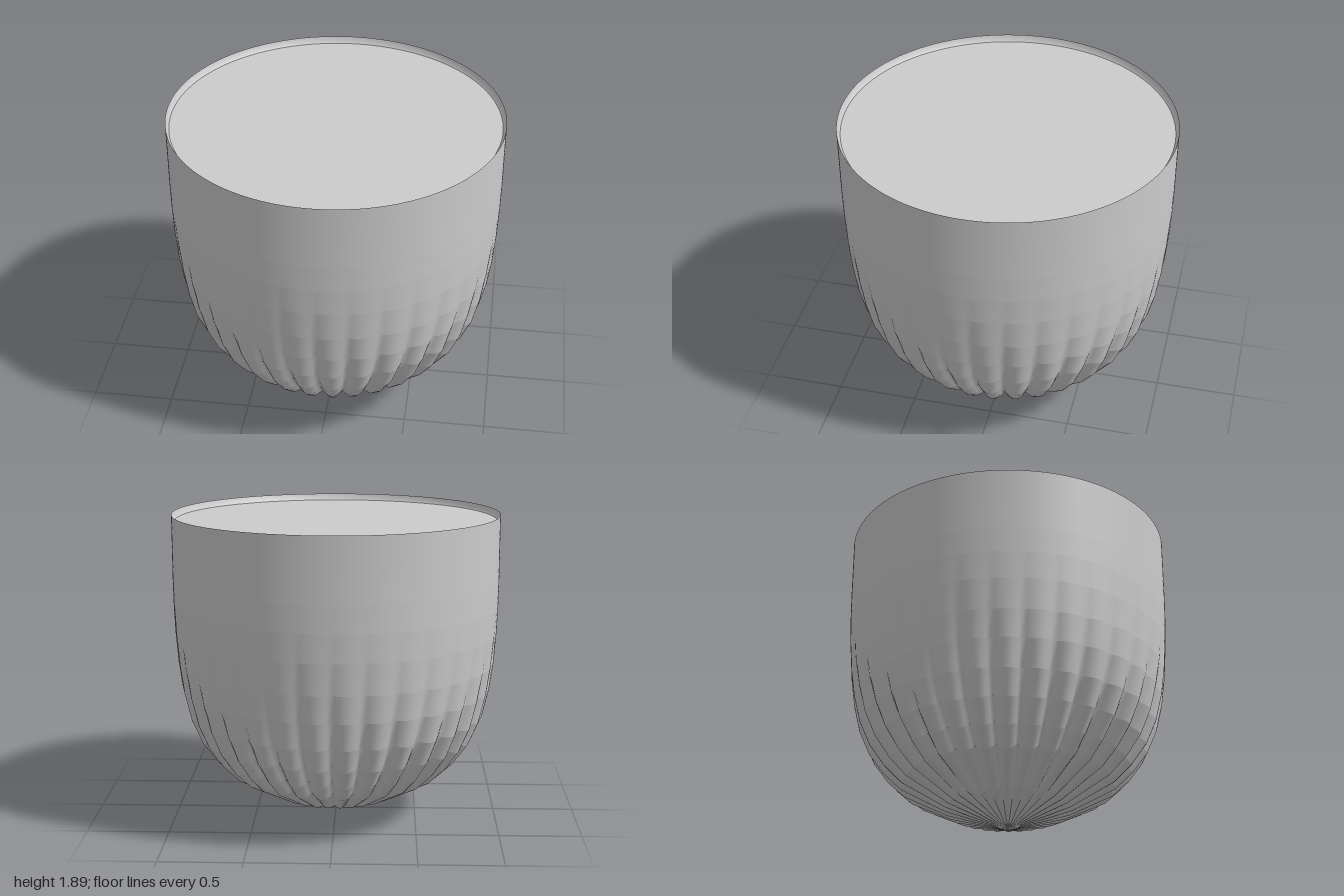
import * as THREE from 'three';

const FLUTES = 32, STEPS = 8, SEG = FLUTES * STEPS;

// Ridge profile: [radius, height, groove depth]
const PROFILE = [
  [0, 0, 0], [0.38, 0.12, 0.02], [0.65, 0.26, 0.045], [0.755, 0.36, 0.055],
  [0.85, 0.49, 0.055], [0.915, 0.64, 0.042], [0.955, 0.81, 0.025],
  [0.978, 0.98, 0.013], [0.992, 1.17, 0.005], [0.998, 1.34, 0.001],
  [1, 1.5, 0], [1, 1.89, 0],
];

// One ring of points: convex lobes with sharp grooves, pressed in along the profile normal
function ring(i) {
  const [r, y, depth] = PROFILE[i];
  const a = PROFILE[Math.max(i - 1, 0)], b = PROFILE[Math.min(i + 1, PROFILE.length - 1)];
  const len = Math.hypot(b[0] - a[0], b[1] - a[1]);
  const nr = (b[1] - a[1]) / len, ny = -(b[0] - a[0]) / len;
  const points = [];
  for (let s = 0; s < SEG; s++) {
    const angle = (s / SEG) * Math.PI * 2;
    const d = depth * (1 - Math.abs(Math.sin(angle * FLUTES / 2)));
    const rr = r - nr * d;
    points.push(Math.sin(angle) * rr, y - ny * d, Math.cos(angle) * rr);
  }
  return points;
}

// The fluted wall: every band has its own vertices, so the edges between bands stay creased
function flutedWall() {
  const positions = [], index = [];
  for (let i = 0; i < PROFILE.length - 1; i++) {
    const base = positions.length / 3;
    positions.push(...ring(i), ...ring(i + 1));
    for (let s = 0; s < SEG; s++) {
      const n = (s + 1) % SEG;
      const a = base + s, b = base + n, c = a + SEG, d = b + SEG;
      if (i > 0) index.push(a, b, d);
      index.push(a, d, c);
    }
  }
  const geometry = new THREE.BufferGeometry();
  geometry.setAttribute('position', new THREE.Float32BufferAttribute(positions, 3));
  geometry.setIndex(index);
  geometry.computeVertexNormals();
  return geometry;
}

export function createModel() {
  const group = new THREE.Group();
  group.name = 'flutedBowl';
  const material = new THREE.MeshStandardMaterial({ color: 0xcccccc });
  const add = (name, geometry) => {
    const mesh = new THREE.Mesh(geometry, material);
    mesh.name = name;
    group.add(mesh);
  };
  const v = (x, y) => new THREE.Vector2(x, y);

  add('flutedWall', flutedWall());
  // Shallow sunken top inside a thin rim
  add('innerRim', new THREE.LatheGeometry([v(1, 1.89), v(0.993, 1.865), v(0.98, 1.85)], SEG));
  add('topSurface', new THREE.LatheGeometry([v(0.98, 1.85), v(0, 1.85)], SEG));
  return group;
}
